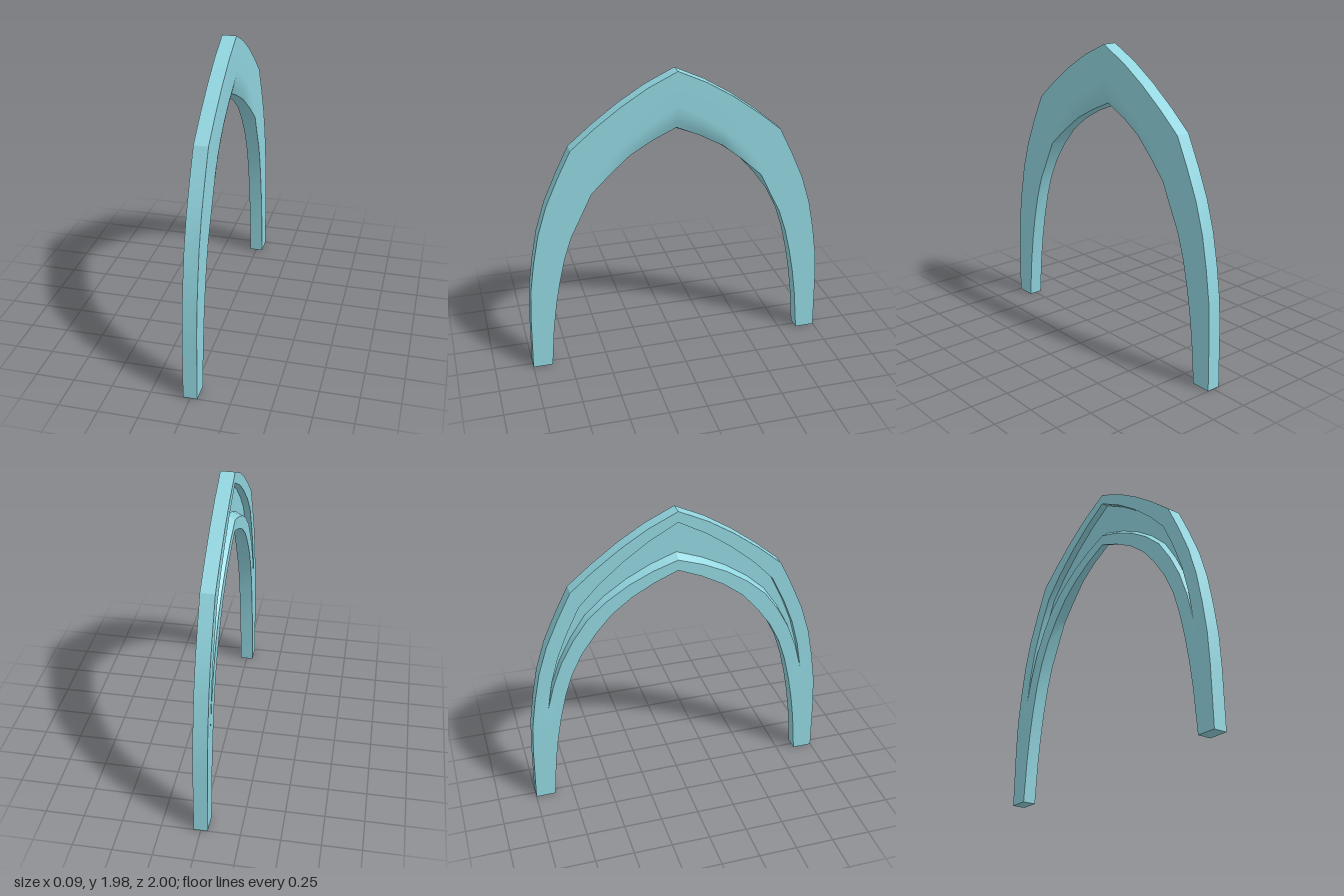
import * as THREE from 'three';
import { toCreasedNormals } from 'three/addons/utils/BufferGeometryUtils.js';

const HALF = 0.045; // half of the arch thickness
const TIP = 8;      // station where the recess closes to a point

// Half profiles as [z, y], from the apex down to the foot
const outer = [[0, 1.975], [0.19, 1.885], [0.36, 1.78], [0.53, 1.655], [0.68, 1.53], [0.77, 1.35],
  [0.85, 1.17], [0.91, 0.98], [0.95, 0.78], [0.98, 0.58], [0.992, 0.38], [1, 0]];
const inner = [[0, 1.58], [0.155, 1.515], [0.3, 1.435], [0.43, 1.335], [0.535, 1.215], [0.63, 1.08],
  [0.7, 0.94], [0.75, 0.79], [0.79, 0.62], [0.82, 0.46], [0.845, 0.28], [0.87, 0]];
// The inner edge of the left face sits higher near the apex, and is eased inward
const innerLeft = [[0, 1.6], [0.155, 1.53], [0.3, 1.45], [0.43, 1.345], [0.56, 1.225]];
const easeIn = [0.035, 0.034, 0.026, 0.012];

// One closed cross-section at station i; side is +1 for front, -1 for back
function section(i, side) {
  const o = outer[i], n = inner[i], l = innerLeft[i] ?? n;
  const at = (to, f, x) => new THREE.Vector3(
    x, THREE.MathUtils.lerp(o[1], to[1], f), side * THREE.MathUtils.lerp(o[0], to[0], f));
  const points = [at(l, 0, HALF)];

  // left face, rounding inward towards its inner edge
  const start = 0.58 + 0.05 * Math.min(i, 4);
  for (let k = 0; k <= 4; k++) {
    const t = k / 4;
    points.push(at(l, start + (1 - start) * t, HALF - (easeIn[i] ?? 0) * t * t));
  }

  // right face with its tapering recess
  const taper = Math.min(i / TIP, 1);
  const rimOut = 0.18 + 0.32 * taper, rimIn = 0.82 - 0.32 * taper;
  const floorX = i < TIP ? 0 : -HALF;
  points.push(at(n, 1, -HALF), at(n, rimIn, -HALF), at(n, rimIn - 0.09 * (1 - taper), floorX),
    at(n, rimOut, floorX), at(n, rimOut, -HALF), at(n, 0, -HALF));
  return points;
}

export function createModel() {
  const last = outer.length - 1;
  const sections = [];
  for (let i = last; i > 0; i--) sections.push(section(i, 1));
  for (let i = 0; i <= last; i++) sections.push(section(i, -1));

  const positions = [];
  const tri = (a, b, c) => {
    const area = new THREE.Triangle(a, b, c).getArea();
    if (area > 1e-7) for (const p of [a, b, c]) positions.push(p.x, p.y, p.z);
  };

  // skin between neighbouring sections
  const count = sections[0].length;
  for (let s = 0; s < sections.length - 1; s++) {
    const p = sections[s], q = sections[s + 1];
    for (let j = 0; j < count; j++) {
      const k = (j + 1) % count;
      tri(p[j], p[k], q[k]);
      tri(p[j], q[k], q[j]);
    }
  }

  // soles of the two feet
  const corners = (s) => [s[0], s[5], s[6], s[count - 1]];
  const [a, b, c, d] = corners(sections[0]);
  tri(a, c, b);
  tri(a, d, c);
  const [e, f, g, h] = corners(sections[sections.length - 1]);
  tri(e, f, g);
  tri(e, g, h);

  const geometry = new THREE.BufferGeometry();
  geometry.setAttribute('position', new THREE.Float32BufferAttribute(positions, 3));

  const arch = new THREE.Mesh(toCreasedNormals(geometry, 0.4),
    new THREE.MeshStandardMaterial({ color: 0x90d4de }));
  arch.name = 'pointedArch';

  const group = new THREE.Group();
  group.name = 'arch';
  group.add(arch);
  return group;
}
